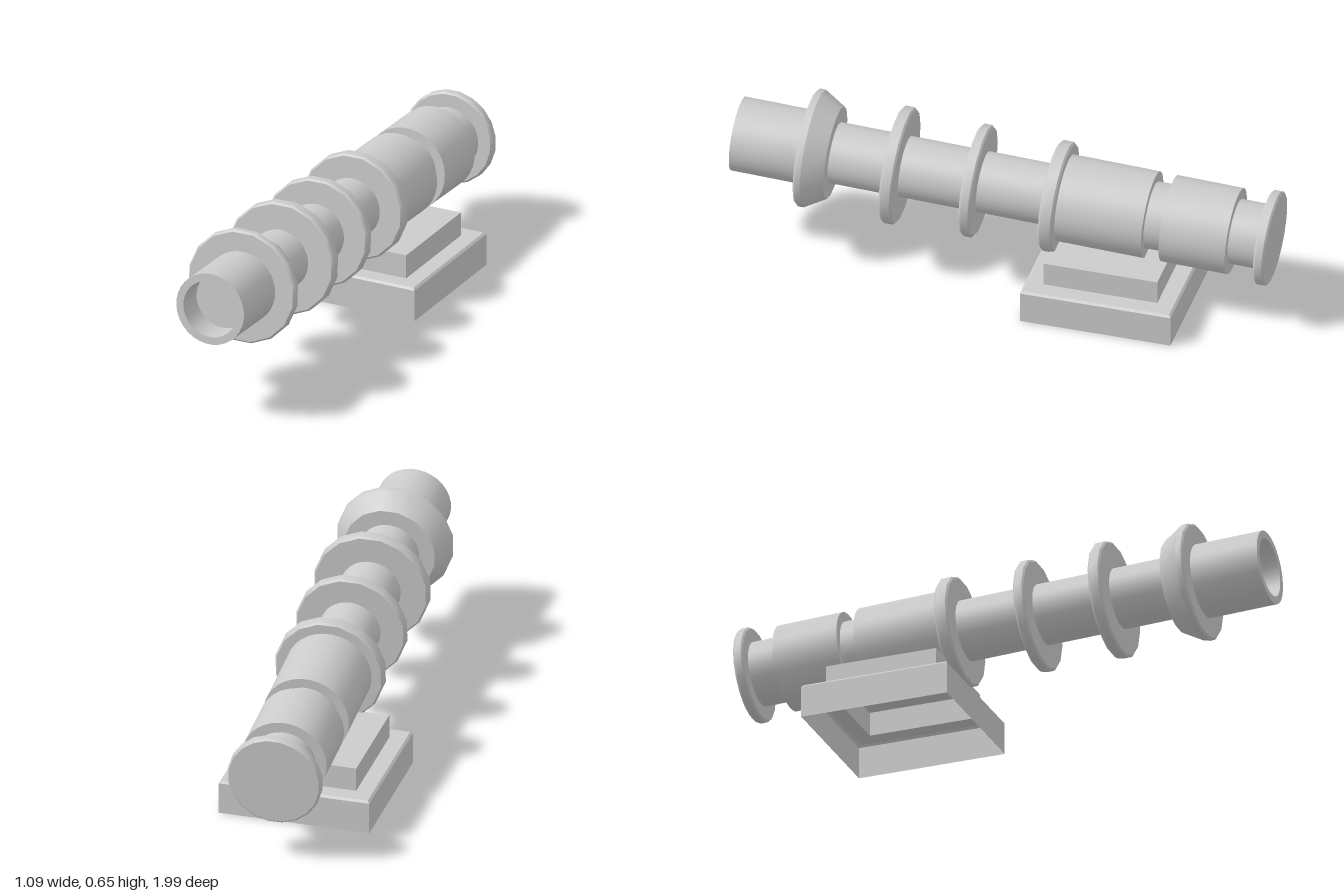
import * as THREE from 'three';
import { toCreasedNormals } from 'three/addons/utils/BufferGeometryUtils.js';

const DEG = Math.PI / 180;
const grey = new THREE.MeshStandardMaterial({ color: 0xcccccc });
const shellGrey = new THREE.MeshStandardMaterial({ color: 0xcccccc, flatShading: true, side: THREE.DoubleSide });

// Turned part along +z from [radius, distance] pairs
function turned(name, profile, sides) {
  const points = profile.map(([r, d]) => new THREE.Vector2(r, d));
  const geometry = new THREE.LatheGeometry(points, sides, Math.PI / sides);
  geometry.rotateX(Math.PI / 2);
  const mesh = new THREE.Mesh(toCreasedNormals(geometry, 0.45), grey);
  mesh.name = name;
  return mesh;
}

// Disc with slightly bevelled rims
function ring(name, r, start, end, sides) {
  const b = 0.007;
  return turned(name, [[0, start], [r - b, start], [r, start + b], [r, end - b], [r - b, end], [0, end]], sides);
}

function tube(name, r, start, end) {
  return turned(name, [[0, start], [r, start], [r, end], [0, end]], 32);
}

function createBarrel() {
  const barrel = new THREE.Group();
  barrel.name = 'barrel';
  barrel.add(
    // Breech
    ring('rearDisc', 0.178, 0, 0.04, 20),
    tube('rearNeck', 0.121, 0.03, 0.16),
    tube('rearBody', 0.161, 0.15, 0.40),
    tube('middleNeck', 0.125, 0.39, 0.48),
    tube('mainBody', 0.162, 0.467, 0.81),
    // Slim barrel with its rings
    ring('bodyFlange', 0.207, 0.795, 0.848, 16),
    tube('slimBarrel', 0.114, 0.84, 1.68),
    ring('firstRing', 0.210, 1.105, 1.148, 16),
    ring('secondRing', 0.219, 1.40, 1.448, 16),
    // Collar flaring towards the muzzle
    turned('muzzleCollar', [[0, 1.667], [0.174, 1.667], [0.22, 1.745], [0.22, 1.766], [0.213, 1.773], [0, 1.773]], 16),
    // Muzzle with a shallow bore
    turned('muzzle', [[0.138, 1.76], [0.138, 2.034], [0.109, 2.034], [0.109, 1.924], [0, 1.924]], 32)
  );
  barrel.position.set(0.38, 0.335, -0.927);
  barrel.rotation.set(-3.25 * DEG, -23.2 * DEG, 0, 'YXZ');
  return barrel;
}

// Hollow square shell from [half side, height] pairs
function squareShell(name, profile) {
  const points = profile.map(([half, y]) => new THREE.Vector2(half * Math.SQRT2, y));
  const mesh = new THREE.Mesh(new THREE.LatheGeometry(points, 4, Math.PI / 4), shellGrey);
  mesh.name = name;
  return mesh;
}

function createBase() {
  const base = new THREE.Group();
  base.name = 'base';
  base.add(
    squareShell('lowerStep', [[0.287, 0], [0.287, 0.122], [0.279, 0.13], [0.217, 0.13]]),
    squareShell('upperStep', [[0.217, 0.13], [0.217, 0.222], [0, 0.222]])
  );
  base.position.set(0.142, 0, -0.376);
  base.rotation.y = -24.7 * DEG;
  return base;
}

export function createModel() {
  const model = new THREE.Group();
  model.name = 'cannon';
  model.add(createBarrel(), createBase());
  return model;
}
